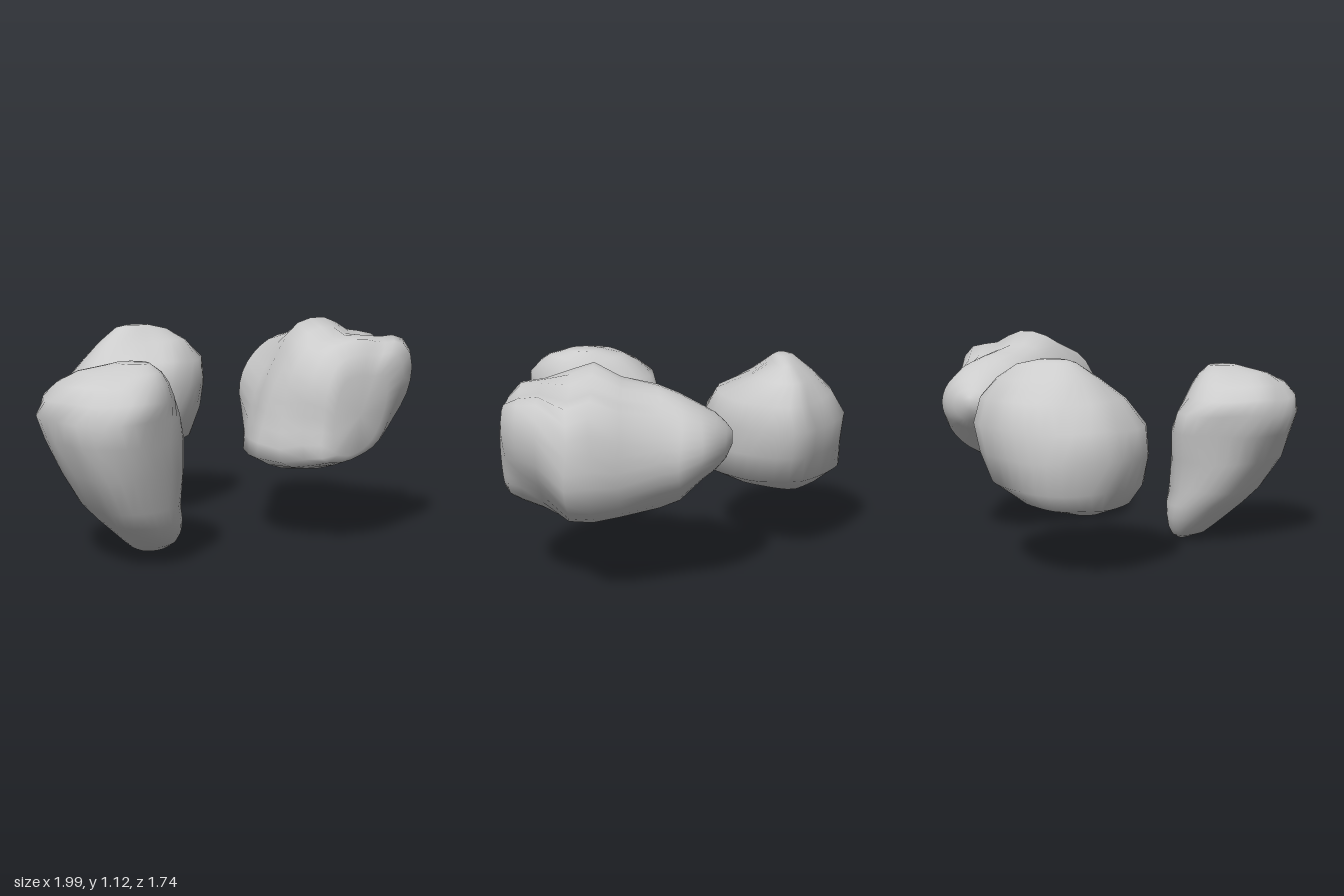
import * as THREE from 'three';

const SIDES = 32;

// Closed outline, resampled evenly and normalised to 0..1 in both directions
function unitOutline(points) {
  const curve = new THREE.CatmullRomCurve3(
    points.map(([u, v]) => new THREE.Vector3(u, v, 0)), true, 'centripetal');
  const ring = curve.getSpacedPoints(SIDES).slice(0, SIDES);
  const box = new THREE.Box3().setFromPoints(ring);
  const size = box.getSize(new THREE.Vector3());
  return ring.map(p => p.sub(box.min).divide(new THREE.Vector3(size.x, size.y, 1)));
}

// Round outline starting at the given angle, in the same direction as the others
function roundOutline(start) {
  return Array.from({ length: SIDES }, (_, i) => {
    const a = start + i / SIDES * Math.PI * 2;
    return new THREE.Vector3(0.5 + 0.5 * Math.cos(a), 0.5 + 0.5 * Math.sin(a), 0);
  });
}

// Stone lofted along an axis; sections are [outline, position, u0, u1, v0, v1]
function stone(name, axis, sections) {
  const pos = [], index = [];
  const put = (t, u, v) => pos.push(...(axis === 'y' ? [u, t, v] : [u, v, t]));
  const last = sections.length - 1;

  sections.forEach(([ring, t, u0, u1, v0, v1], k) => {
    const wear = k === 0 || k === last ? 0 : 0.008;
    for (const p of ring) {
      const u = u0 + (u1 - u0) * p.x, v = v0 + (v1 - v0) * p.y;
      // gentle uneven surface
      const w = wear * Math.sin(u * 13 + t * 9) * Math.cos(v * 14 - t * 11);
      put(t + w, u + w * (p.x - 0.5) * 2, v + w * (p.y - 0.5) * 2);
    }
  });
  for (let k = 0; k < last; k++) {
    for (let i = 0; i < SIDES; i++) {
      const a = k * SIDES + i, b = k * SIDES + (i + 1) % SIDES;
      index.push(a, a + SIDES, b, b, a + SIDES, b + SIDES);
    }
  }
  // close both ends
  for (const k of [0, last]) {
    const [, t, u0, u1, v0, v1] = sections[k];
    const c = pos.length / 3;
    put(t, (u0 + u1) / 2, (v0 + v1) / 2);
    for (let i = 0; i < SIDES; i++) {
      const a = k * SIDES + i, b = k * SIDES + (i + 1) % SIDES;
      index.push(c, ...(k === 0 ? [a, b] : [b, a]));
    }
  }
  const geo = new THREE.BufferGeometry();
  geo.setAttribute('position', new THREE.Float32BufferAttribute(pos, 3));
  geo.setIndex(index);
  geo.computeVertexNormals();
  const mesh = new THREE.Mesh(geo, new THREE.MeshStandardMaterial({ color: 0xcccccc }));
  mesh.name = name;
  return mesh;
}

export function createModel() {
  const group = new THREE.Group();
  group.name = 'floatingStones';

  // Teardrop stone leaning outwards, outlines in x, z
  const drop = unitOutline([[-0.52, 0.11], [-0.46, 0.12], [-0.39, 0.19], [-0.34, 0.26],
    [-0.30, 0.42], [-0.31, 0.6], [-0.36, 0.7], [-0.5, 0.8], [-0.75, 0.87], [-0.94, 0.73],
    [-0.97, 0.6], [-1, 0.46], [-0.95, 0.3], [-0.86, 0.2], [-0.7, 0.15]]);
  // fuller towards the front right and back left corners
  const lower = unitOutline([[0.55, 0], [0.82, 0.07], [0.97, 0.3], [1, 0.55], [0.86, 0.83],
    [0.6, 0.97], [0.36, 1], [0.11, 0.91], [0.01, 0.65], [0, 0.45], [0.13, 0.2], [0.3, 0.06]]);
  const disc = roundOutline(-Math.PI * 0.45);
  group.add(stone('teardropStone', 'y', [
    [disc, 0.00, -0.42, -0.37, 0.35, 0.42],
    [lower, 0.03, -0.51, -0.33, 0.29, 0.53],
    [lower, 0.07, -0.56, -0.31, 0.25, 0.61],
    [lower, 0.13, -0.63, -0.30, 0.22, 0.69],
    [lower, 0.20, -0.71, -0.30, 0.20, 0.74],
    [lower, 0.28, -0.79, -0.31, 0.19, 0.77],
    [lower, 0.45, -0.90, -0.31, 0.16, 0.82],
    [drop, 0.60, -0.965, -0.32, 0.13, 0.86],
    [drop, 0.71, -1.00, -0.35, 0.11, 0.87],
    [disc, 0.79, -0.97, -0.38, 0.14, 0.85],
    [disc, 0.86, -0.91, -0.41, 0.22, 0.80],
    [disc, 0.91, -0.81, -0.44, 0.31, 0.74],
    [disc, 0.95, -0.64, -0.49, 0.45, 0.63]]));

  // Rounded stone at the back, outlines in x, z
  const back = unitOutline([[-0.03, -0.88], [0.14, -0.82], [0.28, -0.72], [0.39, -0.6],
    [0.35, -0.4], [0.2, -0.23], [0, -0.14], [-0.16, -0.15], [-0.28, -0.16], [-0.38, -0.28],
    [-0.48, -0.42], [-0.45, -0.6], [-0.38, -0.74], [-0.2, -0.86]]);
  const backTop = roundOutline(-Math.PI / 2);
  group.add(stone('backStone', 'y', [
    [back, 0.30, -0.27, -0.10, -0.63, -0.48],
    [back, 0.345, -0.39, 0.13, -0.78, -0.28],
    [back, 0.43, -0.44, 0.29, -0.86, -0.14],
    [back, 0.58, -0.48, 0.36, -0.87, -0.14],
    [back, 0.72, -0.46, 0.39, -0.875, -0.14],
    [back, 0.85, -0.36, 0.37, -0.80, -0.20],
    [backTop, 0.95, -0.25, 0.28, -0.70, -0.37],
    [backTop, 1.02, -0.13, 0.18, -0.61, -0.48],
    [backTop, 1.04, -0.08, 0.05, -0.57, -0.50]]));

  // Large stone with a tapering tail and a chamfered front, outlines in x, y
  const body = unitOutline([[0.14, 0.43], [0.18, 0.62], [0.21, 0.74], [0.29, 0.91],
    [0.41, 1.08], [0.59, 1.12], [0.76, 1.05], [0.9, 1.03], [0.98, 0.93], [1, 0.67],
    [0.93, 0.5], [0.75, 0.39], [0.4, 0.345], [0.2, 0.4]]);
  const front = unitOutline([[0.2, 0.43], [0.2, 0.62], [0.23, 0.8], [0.34, 0.98], [0.55, 1.03],
    [0.75, 1.02], [0.9, 1.02], [0.97, 0.93], [0.96, 0.8], [0.87, 0.62], [0.73, 0.48],
    [0.5, 0.39], [0.33, 0.39]]);
  // clockwise like the outlines above, from the lower left
  const tail = roundOutline(Math.PI * 0.8).map(p => p.setY(1 - p.y));
  group.add(stone('taperedStone', 'z', [
    [tail, -0.25, 0.56, 0.62, 0.73, 0.80],
    [tail, -0.22, 0.50, 0.70, 0.67, 0.84],
    [tail, -0.17, 0.46, 0.77, 0.62, 0.89],
    [tail, -0.10, 0.41, 0.84, 0.57, 0.93],
    [tail, 0.00, 0.35, 0.88, 0.47, 0.98],
    [tail, 0.10, 0.28, 0.89, 0.42, 1.01],
    [body, 0.28, 0.20, 0.95, 0.37, 1.05],
    [body, 0.41, 0.15, 1.00, 0.345, 1.12],
    [body, 0.52, 0.13, 0.99, 0.355, 1.07],
    [front, 0.65, 0.18, 0.99, 0.38, 1.04],
    [front, 0.75, 0.25, 0.91, 0.41, 1.02],
    [front, 0.82, 0.31, 0.79, 0.43, 0.96],
    [front, 0.85, 0.36, 0.68, 0.47, 0.86]]));

  return group;
}
